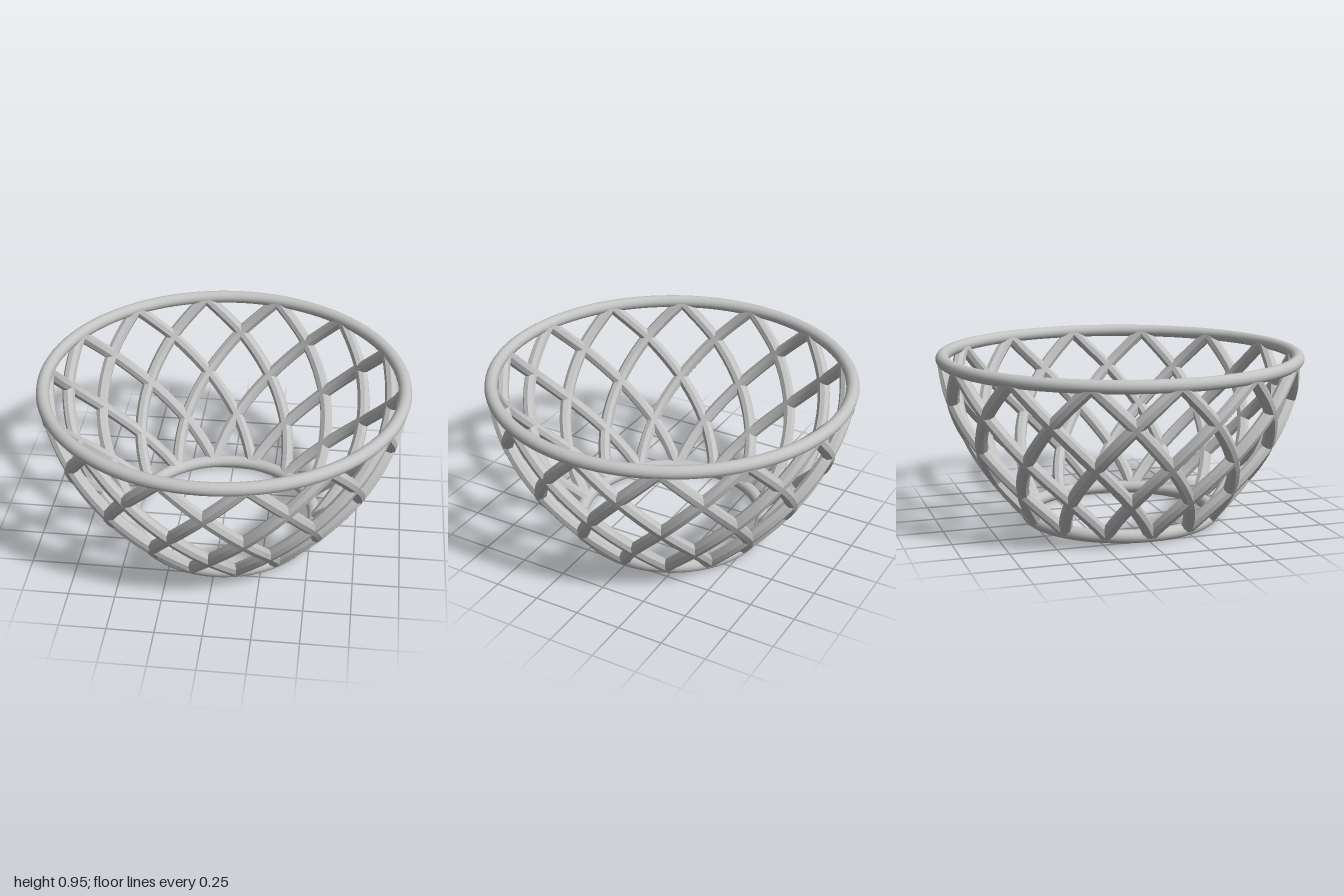
import * as THREE from 'three';
import { toCreasedNormals } from 'three/addons/utils/BufferGeometryUtils.js';

const STRANDS = 14;      // strands in each direction
const STEPS = 32;        // rows along one strand
const SIDES = 8;         // sides of a strand
const THICK = 0.035;     // strand radius
const TWIST = (Math.PI * 2 / STRANDS) * 2; // turn from base to rim

// bowl profile: radius and height
const profile = new THREE.CatmullRomCurve3([
  [0.515, 0.036], [0.695, 0.255], [0.835, 0.475], [0.925, 0.70], [0.963, 0.91],
].map(([r, y]) => new THREE.Vector3(r, y, 0)));

// octagonal bar swept along the bowl wall, turning one way or the other
function strandGeometry(dir) {
  const at = (t) => {
    const p = profile.getPoint(t);
    const a = dir * t * TWIST;
    return new THREE.Vector3(p.x * Math.sin(a), p.y, p.x * Math.cos(a));
  };
  const positions = [], index = [];
  for (let i = 0; i <= STEPS; i++) {
    const t = i / STEPS, p = at(t), a = dir * t * TWIST;
    const tangent = at(Math.min(1, t + 0.005)).sub(at(Math.max(0, t - 0.005))).normalize();
    const slope = profile.getTangent(t);
    const out = new THREE.Vector3(slope.y * Math.sin(a), -slope.x, slope.y * Math.cos(a)).normalize();
    const side = new THREE.Vector3().crossVectors(tangent, out).normalize();
    for (let j = 0; j < SIDES; j++) {
      const b = (j + 0.5) / SIDES * Math.PI * 2;
      const v = p.clone().addScaledVector(out, Math.cos(b) * THICK).addScaledVector(side, Math.sin(b) * THICK);
      positions.push(v.x, v.y, v.z);
      if (i < STEPS) {
        const k = i * SIDES, n = (j + 1) % SIDES;
        index.push(k + j, k + n, k + SIDES + j, k + n, k + SIDES + n, k + SIDES + j);
      }
    }
  }
  // end caps
  const last = STEPS * SIDES;
  for (let j = 1; j < SIDES - 1; j++) {
    index.push(0, j + 1, j, last, last + j, last + j + 1);
  }
  const g = new THREE.BufferGeometry();
  g.setAttribute('position', new THREE.Float32BufferAttribute(positions, 3));
  g.setIndex(index);
  return toCreasedNormals(g, Math.PI / 6);
}

function ring(name, radius, tube, y, material) {
  const mesh = new THREE.Mesh(new THREE.TorusGeometry(radius, tube, 16, 96), material);
  mesh.name = name;
  mesh.rotation.x = Math.PI / 2;
  mesh.position.y = y;
  return mesh;
}

export function createModel() {
  const model = new THREE.Group();
  model.name = 'latticeBowl';
  const grey = new THREE.MeshStandardMaterial({ color: 0xc4c4c4 });
  grey.name = 'lightGrey';

  model.add(ring('rimRing', 0.965, 0.035, 0.913, grey));
  model.add(ring('baseRing', 0.515, 0.036, 0.036, grey));

  // two opposite sets of strands make the diamond lattice
  for (const dir of [1, -1]) {
    const set = new THREE.Group();
    set.name = dir > 0 ? 'leftTurningStrands' : 'rightTurningStrands';
    const geometry = strandGeometry(dir);
    for (let i = 0; i < STRANDS; i++) {
      const strand = new THREE.Mesh(geometry, grey);
      strand.name = 'strand';
      strand.rotation.y = (i + 0.5) / STRANDS * Math.PI * 2;
      set.add(strand);
    }
    model.add(set);
  }
  return model;
}
